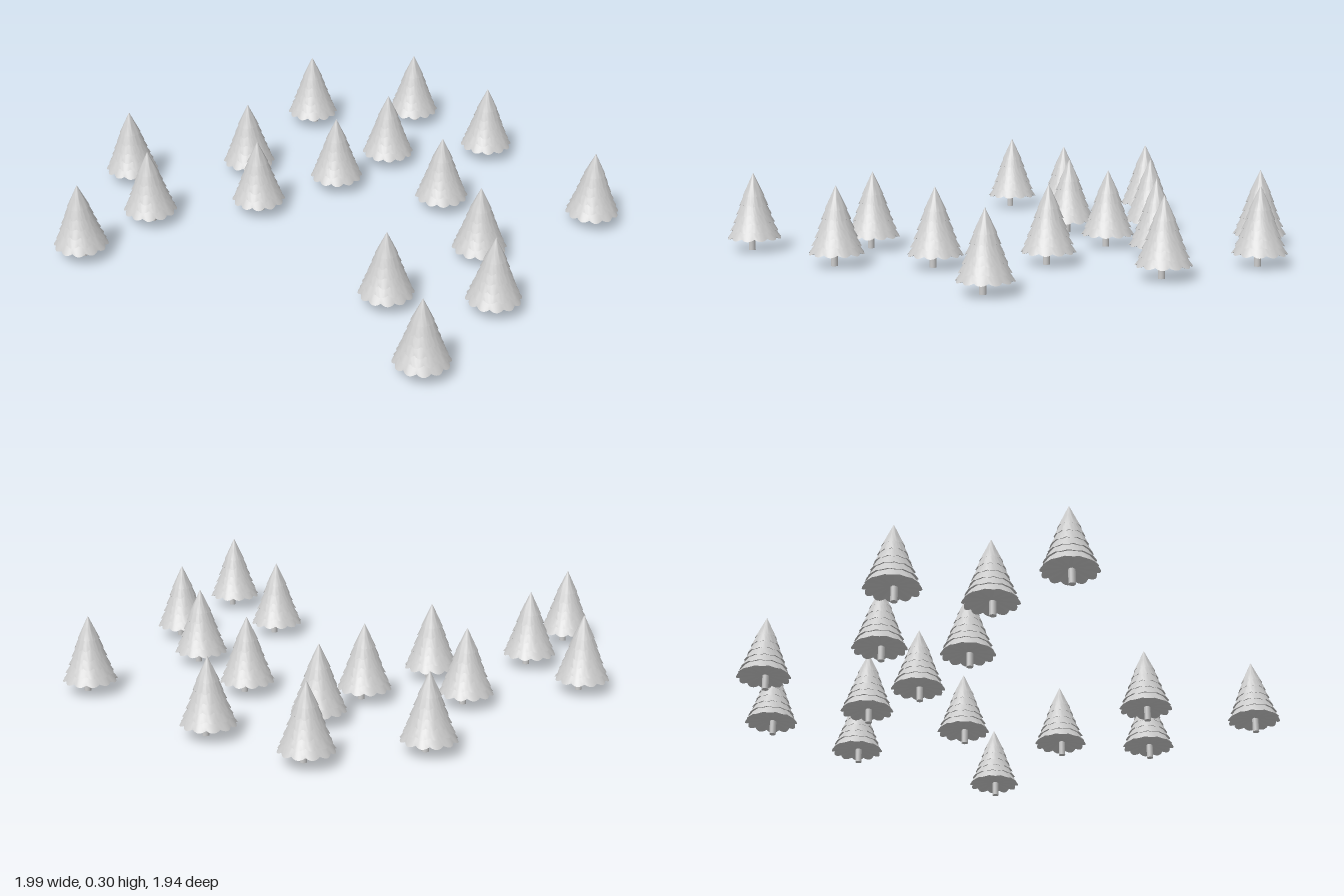
import * as THREE from 'three';
import { toCreasedNormals } from 'three/addons/utils/BufferGeometryUtils.js';

// Ground position (x, z) of every tree
const SPOTS = [
  [-0.4, -0.87], [0.04, -0.83], [0.71, -0.665], [-0.71, -0.56],
  [-0.22, -0.5], [0.19, -0.36], [-0.235, -0.2], [0.555, -0.15],
  [-0.59, -0.05], [0.825, 0.1], [-0.33, 0.155], [-0.895, 0.325],
  [0.51, 0.335], [-0.585, 0.505], [0.895, 0.585], [-0.58, 0.865],
];

// Hem radius and hem height of each branch tier, bottom to top
const TIERS = [
  [0.105, 0.045], [0.093, 0.075], [0.081, 0.105],
  [0.069, 0.137], [0.056, 0.172], [0.042, 0.21],
];
const TOP = 0.3;

// A skirt of branches whose hem is pulled into rounded lobes
function tierGeometry(i) {
  const [r, y] = TIERS[i];
  const last = i === TIERS.length - 1;
  const [nr, ny] = last ? [0, TOP] : TIERS[i + 1];
  const neckR = last ? 0 : nr * 0.8;
  const neckY = last ? TOP : ny + 0.012;
  const profile = [
    [i === 0 ? 0 : r * 0.6, y + 0.012],
    [r, y],
    [r * 0.55 + neckR * 0.45, y * 0.55 + neckY * 0.45],
    [neckR, neckY],
  ].map(([a, b]) => new THREE.Vector2(a, b));
  const geo = new THREE.LatheGeometry(profile, 72);
  const lobes = 12 - (i % 2);
  const depth = last ? 0.03 : 0.08;
  const pos = geo.attributes.position;
  for (let k = 0; k < pos.count; k++) {
    // only the hem ring is scalloped
    if (k % profile.length !== 1) continue;
    const a = Math.atan2(pos.getX(k), pos.getZ(k)) + i * 0.35;
    const notch = 1 - Math.abs(Math.sin((a * lobes) / 2));
    const s = 1 - depth * notch;
    pos.setXYZ(k, pos.getX(k) * s, y + depth * 0.1 * notch, pos.getZ(k) * s);
  }
  return toCreasedNormals(geo, 0.7);
}

export function createModel() {
  const forest = new THREE.Group();
  forest.name = 'forest';
  const material = new THREE.MeshStandardMaterial({ color: 0xcccccc, side: THREE.DoubleSide });
  const tiers = TIERS.map((_, i) => tierGeometry(i));
  const trunkGeo = new THREE.CylinderGeometry(0.013, 0.013, 0.06, 16);

  SPOTS.forEach(([x, z], n) => {
    const tree = new THREE.Group();
    tree.name = `tree${n + 1}`;
    tree.position.set(x, 0, z);

    // Trunk, standing slightly off the crown's axis
    const trunk = new THREE.Mesh(trunkGeo, material);
    trunk.name = 'trunk';
    trunk.position.set(0.012, 0.03, -0.002);
    tree.add(trunk);

    // Overlapping branch tiers
    tiers.forEach((geo, i) => {
      const tier = new THREE.Mesh(geo, material);
      tier.name = `branchTier${i + 1}`;
      tree.add(tier);
    });
    forest.add(tree);
  });
  return forest;
}
